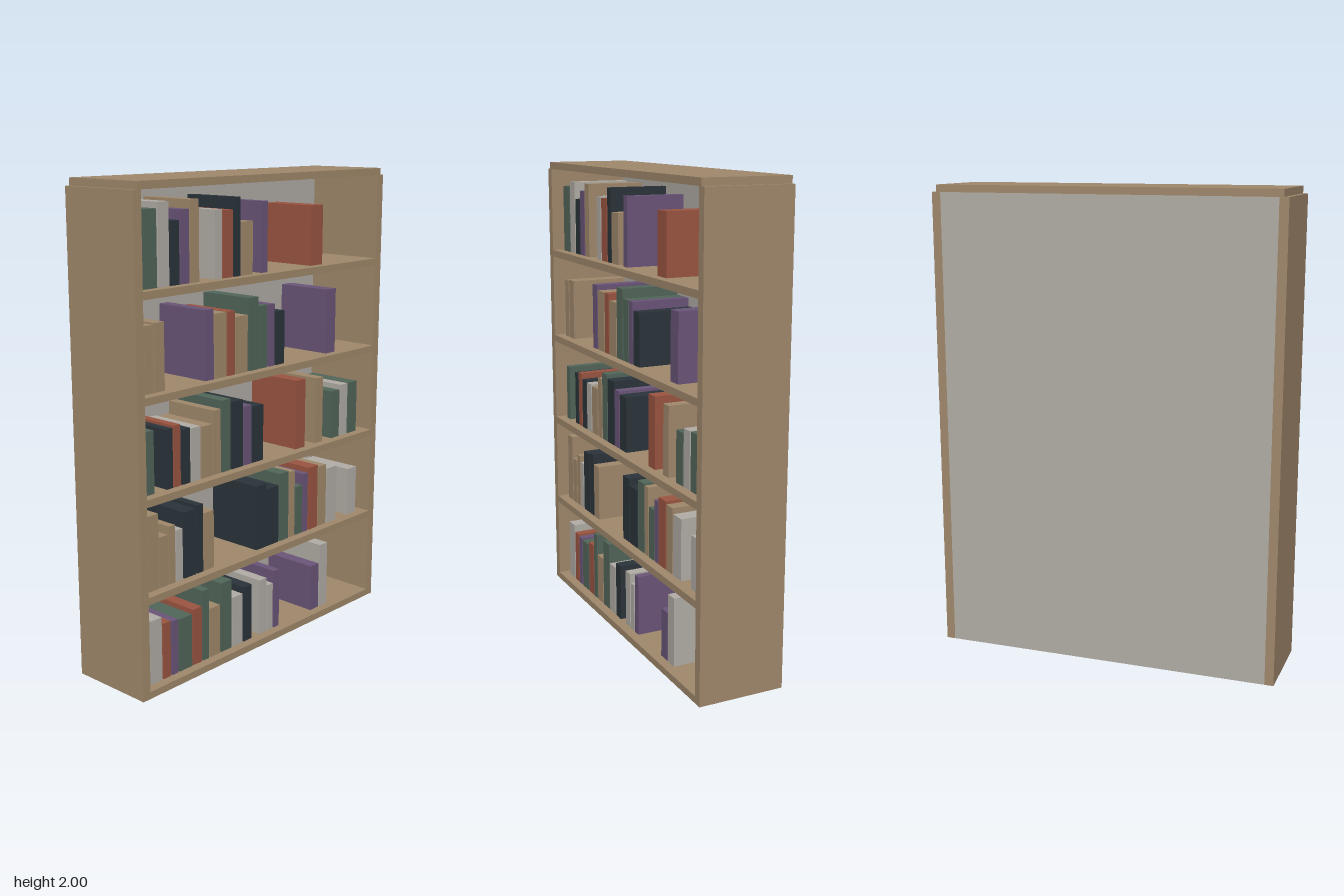
import * as THREE from 'three';

const material = (name, color) => {
  const m = new THREE.MeshStandardMaterial({ color });
  m.name = name;
  return m;
};

export function createModel() {
  const group = new THREE.Group();
  group.name = 'bookcase';
  const wood = material('wood', 0xa1896c);
  const pale = material('paleGrey', 0xb2ada6);
  const green = material('green', 0x52665a);
  const navy = material('navy', 0x2b343b);
  const purple = material('purple', 0x6b5579);
  const red = material('red', 0x9b5541);

  const box = (name, mat, w, h, d, x, y, z, parent = group) => {
    const mesh = new THREE.Mesh(new THREE.BoxGeometry(w, h, d), mat);
    mesh.name = name;
    mesh.position.set(x, y, z);
    parent.add(mesh);
  };

  // Carcass
  const depth = 0.37, sideH = 1.97, board = 0.03, panel = 0.015, inner = 0.707;
  box('leftSide', wood, 0.038, sideH, depth, inner + 0.019, sideH / 2, 0);
  box('rightSide', wood, 0.038, sideH, depth, -inner - 0.019, sideH / 2, 0);
  box('topBoard', wood, 1.45, board, depth, 0, 2 - board / 2, 0);
  box('backPanel', pale, inner * 2, sideH, panel, 0, sideH / 2, -depth / 2 + panel / 2);

  // Shelves, evenly spaced from the floor
  const pitch = 0.394;
  for (let i = 0; i < 5; i++) {
    box('shelf', wood, inner * 2, board, depth - panel, 0, i * pitch + board / 2, panel / 2);
  }

  // A run of books standing side by side: each is [colour, width, height]
  const bookDepth = 0.255, bookZ = 0.0175, gap = 0.008;
  const run = (shelf, startX, books) => {
    const row = new THREE.Group();
    row.name = 'bookRun';
    let x = startX;
    for (const [mat, w, h] of books) {
      box('book', mat, w, h, bookDepth, x + w / 2, shelf * pitch + board + h / 2, bookZ, row);
      x += w + gap;
    }
    group.add(row);
  };

  // Bottom shelf
  run(0, -0.666, [[pale, 0.063, 0.27], [red, 0.04, 0.239], [purple, 0.034, 0.233], [green, 0.071, 0.228],
    [red, 0.05, 0.244], [green, 0.034, 0.308], [wood, 0.058, 0.217], [green, 0.063, 0.308],
    [pale, 0.061, 0.223], [navy, 0.05, 0.249]]);
  run(0, -0.018, [[pale, 0.045, 0.249], [pale, 0.034, 0.212], [purple, 0.034, 0.265]]);
  run(0, 0.333, [[purple, 0.055, 0.212], [pale, 0.053, 0.297]]);

  // Second shelf
  run(1, -0.666, [[wood, 0.053, 0.31], [wood, 0.042, 0.21], [wood, 0.032, 0.241], [pale, 0.034, 0.215],
    [navy, 0.066, 0.279], [navy, 0.034, 0.289], [wood, 0.055, 0.247]]);
  run(1, -0.04, [[navy, 0.061, 0.284], [navy, 0.074, 0.257], [green, 0.058, 0.305], [wood, 0.034, 0.3],
    [green, 0.045, 0.22], [purple, 0.029, 0.268], [red, 0.061, 0.289], [wood, 0.053, 0.279],
    [pale, 0.069, 0.257]]);
  run(1, 0.592, [[pale, 0.063, 0.22]]);

  // Middle shelf
  run(2, -0.666, [[green, 0.037, 0.251]]);
  run(2, -0.563, [[navy, 0.034, 0.24], [red, 0.034, 0.248], [navy, 0.045, 0.224], [pale, 0.05, 0.219],
    [wood, 0.061, 0.214], [wood, 0.04, 0.267], [green, 0.05, 0.299], [navy, 0.066, 0.283],
    [purple, 0.045, 0.251], [navy, 0.066, 0.24]]);
  run(2, 0.214, [[red, 0.061, 0.304]]);
  run(2, 0.349, [[wood, 0.048, 0.293]]);
  run(2, 0.462, [[green, 0.055, 0.214], [pale, 0.05, 0.235], [green, 0.061, 0.235]]);

  // Fourth shelf
  run(3, -0.666, [[wood, 0.042, 0.26], [wood, 0.05, 0.265]]);
  run(3, -0.344, [[purple, 0.047, 0.281], [wood, 0.066, 0.26], [red, 0.04, 0.26], [wood, 0.069, 0.233],
    [green, 0.058, 0.3], [green, 0.047, 0.26], [purple, 0.037, 0.26], [navy, 0.055, 0.225]]);
  run(3, 0.412, [[purple, 0.063, 0.281]]);

  // Top shelf
  run(4, -0.666, [[green, 0.069, 0.29], [pale, 0.055, 0.313], [navy, 0.045, 0.241],
    [purple, 0.045, 0.279], [wood, 0.045, 0.313]]);
  run(4, -0.288, [[pale, 0.04, 0.268], [red, 0.055, 0.263], [navy, 0.034, 0.31], [wood, 0.066, 0.212]]);
  run(4, -0.016, [[purple, 0.037, 0.286]]);
  run(4, 0.299, [[red, 0.077, 0.252]]);

  return group;
}
